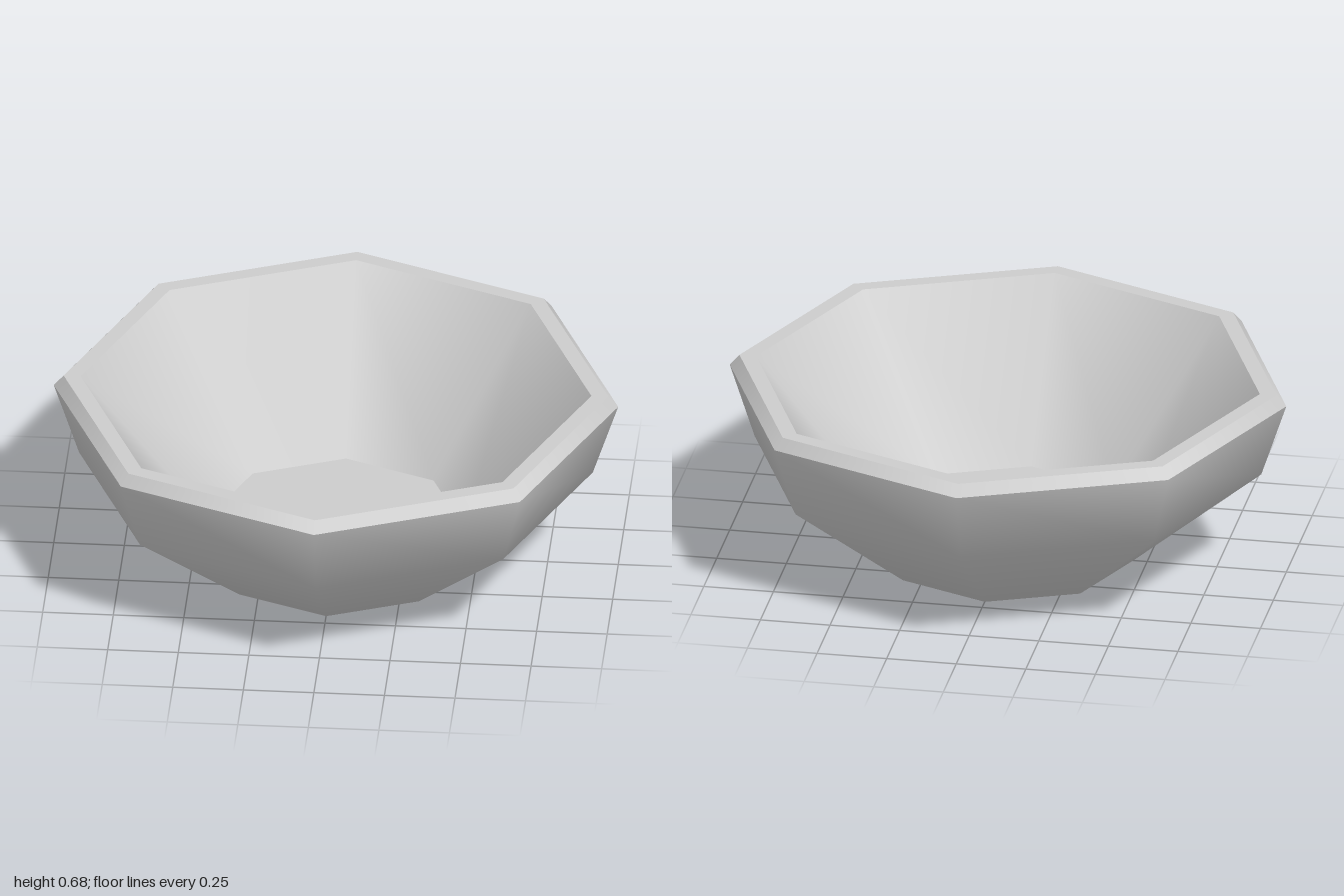
import * as THREE from 'three';

export function createModel() {
  const bowl = new THREE.Group();
  bowl.name = 'bowl';
  const clay = new THREE.MeshStandardMaterial({ color: 0xcccccc });
  clay.name = 'pale grey';

  // Each band is an eight-sided lathe; separate bands keep the rim edges sharp
  const band = (name, profile) => {
    const points = profile.map(([r, y]) => new THREE.Vector2(r, y));
    const mesh = new THREE.Mesh(new THREE.LatheGeometry(points, 8), clay);
    mesh.name = name;
    bowl.add(mesh);
  };

  // Underside and outer wall share soft normals
  band('outerWall', [[0, 0], [0.45, 0], [0.91, 0.37], [1, 0.64]]);
  // Bevel and flat lip
  band('rimBevel', [[1, 0.64], [0.965, 0.68]]);
  band('rimTop', [[0.965, 0.68], [0.905, 0.68]]);
  // Inside wall and raised floor
  band('innerWall', [[0.905, 0.68], [0.453, 0.13]]);
  band('innerFloor', [[0.453, 0.13], [0, 0.13]]);

  return bowl;
}
